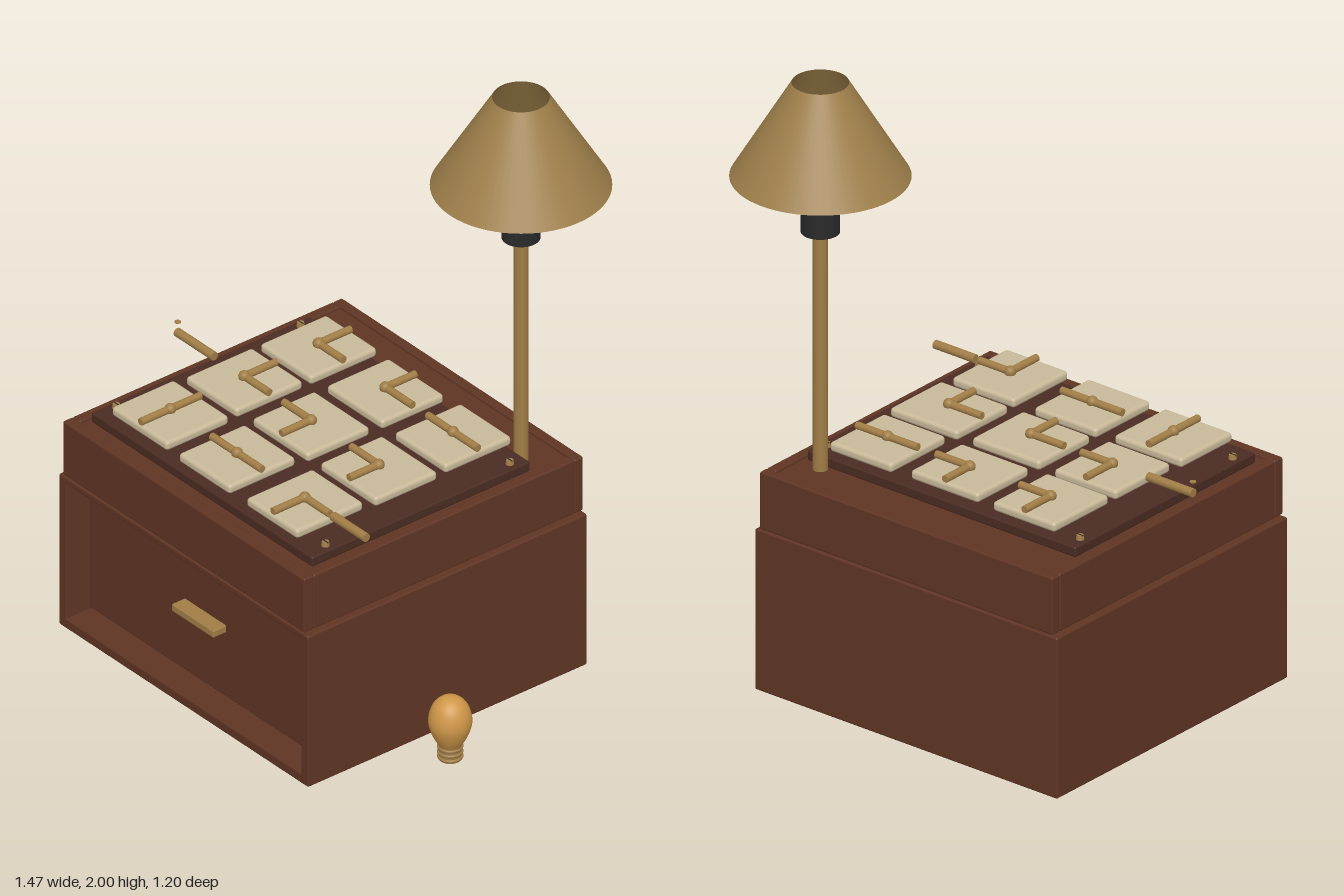
import * as THREE from 'three';
import { RoundedBoxGeometry } from 'three/addons/geometries/RoundedBoxGeometry.js';

const material = (name, color, side = THREE.FrontSide) => {
  const m = new THREE.MeshStandardMaterial({ color, side });
  m.name = name;
  return m;
};

export function createModel() {
  const wood = material('wood', 0x5f3524);
  const darkWood = material('dark wood', 0x4a2b22);
  const cream = material('cream tile', 0xc8b999);
  const brass = material('brass', 0xa07d46);
  const shadeBrass = material('shade brass', 0x9f7f4a, THREE.DoubleSide);
  const black = material('black', 0x2a2a2b);
  const amber = material('amber glass', 0xcf9748);

  const model = new THREE.Group();
  model.name = 'puzzleBoxLamp';

  const group = (name, parent = model) => {
    const g = new THREE.Group();
    g.name = name;
    parent.add(g);
    return g;
  };
  const add = (parent, name, geometry, mat, x = 0, y = 0, z = 0) => {
    const mesh = new THREE.Mesh(geometry, mat);
    mesh.name = name;
    mesh.position.set(x, y, z);
    parent.add(mesh);
    return mesh;
  };
  // Rounded box given by its lower and upper corners
  const board = (parent, name, mat, [x0, y0, z0], [x1, y1, z1], r = 0.006) =>
    add(parent, name, new RoundedBoxGeometry(x1 - x0, y1 - y0, z1 - z0, 2, r), mat,
      (x0 + x1) / 2, (y0 + y1) / 2, (z0 + z1) / 2);
  // Round rod between two points
  const rod = (parent, name, a, b, r, mat = brass) => {
    const p = new THREE.Vector3(...a), q = new THREE.Vector3(...b);
    const d = q.clone().sub(p);
    const mesh = add(parent, name, new THREE.CylinderGeometry(r, r, d.length(), 16), mat);
    mesh.position.copy(p).add(q).multiplyScalar(0.5);
    mesh.quaternion.setFromUnitVectors(new THREE.Vector3(0, 1, 0), d.normalize());
    return mesh;
  };

  // Lower cabinet, open at the front, with a recessed drawer
  const cabinet = group('cabinet');
  board(cabinet, 'cabinetFloor', wood, [-0.683, 0, -0.475], [0.488, 0.035, 0.6]);
  board(cabinet, 'cabinetTop', wood, [-0.683, 0.51, -0.475], [0.488, 0.533, 0.6]);
  board(cabinet, 'cabinetBack', wood, [-0.683, 0, -0.475], [0.488, 0.533, -0.44]);
  board(cabinet, 'cabinetSide', wood, [-0.683, 0, -0.475], [-0.648, 0.533, 0.6]);
  board(cabinet, 'cabinetSide', wood, [0.453, 0, -0.475], [0.488, 0.533, 0.6]);
  board(cabinet, 'drawerFront', wood, [-0.644, 0.045, 0.48], [0.449, 0.508, 0.515]);
  board(cabinet, 'drawerHandle', brass, [-0.197, 0.272, 0.51], [0, 0.298, 0.565], 0.005);

  // Upper tray: four walls around a floor
  const tray = group('tray');
  board(tray, 'trayWallFront', wood, [-0.665, 0.537, 0.562], [0.47, 0.727, 0.6]);
  board(tray, 'trayWallBack', wood, [-0.665, 0.537, -0.475], [0.47, 0.727, -0.441]);
  board(tray, 'trayWallSide', wood, [-0.665, 0.537, -0.441], [-0.63, 0.727, 0.562]);
  board(tray, 'trayWallSide', wood, [0.435, 0.537, -0.441], [0.47, 0.727, 0.562]);
  board(tray, 'trayFloor', wood, [-0.64, 0.53, -0.45], [0.445, 0.718, 0.57]);
  board(tray, 'puzzlePlate', darkWood, [-0.617, 0.718, -0.31], [0.422, 0.752, 0.53]);

  // Slotted screws at the plate corners
  for (const x of [-0.59, 0.393]) {
    for (const z of [-0.255, 0.455]) {
      const screw = group('screw');
      screw.position.set(x, 0.759, z);
      add(screw, 'screwHead', new THREE.CylinderGeometry(0.011, 0.013, 0.015, 16), brass);
      add(screw, 'screwSlot', new THREE.BoxGeometry(0.022, 0.003, 0.004), black, 0, 0.007, 0);
    }
  }

  // Puzzle tiles; letters give the sides that the pipe reaches, rows from back to front
  const columns = [-0.412, -0.098, 0.22];
  const rows = [-0.178, 0.108, 0.393];
  const layout = [['BR', 'BR', 'LR'], ['BR', 'LF', 'LF'], ['BF', 'LR', 'RF']];
  const wide = [[0, 1, 0], [0, 1, 1], [1, 0, 0]];
  const direction = { L: [-1, 0], R: [1, 0], B: [0, -1], F: [0, 1] };
  const pipeY = 0.811;
  rows.forEach((z, r) => columns.forEach((x, c) => {
    const tile = group('pipeTile');
    tile.position.set(x, 0, z);
    const w = wide[r][c] ? 0.262 : 0.241;
    const d = wide[r][c] ? 0.24 : 0.256;
    add(tile, 'tile', new RoundedBoxGeometry(w, 0.032, d, 3, 0.012), cream, 0, 0.787, 0);
    for (const key of layout[r][c]) {
      const [dx, dz] = direction[key];
      rod(tile, 'pipe', [0, pipeY, 0], [dx * w * 0.49, pipeY, dz * d * 0.48], 0.012);
    }
    add(tile, 'pipeJoint', new THREE.SphereGeometry(0.018, 16, 12), brass, 0, pipeY, 0);
  }));

  // Inlet and outlet pipes beyond the plate
  rod(model, 'inletPipe', [-0.727, pipeY, rows[1]], [-0.552, pipeY, rows[1]], 0.014);
  rod(model, 'outletPipe', [0.354, pipeY, rows[2]], [0.51, pipeY, rows[2]], 0.014);
  add(model, 'inletCap', new THREE.CylinderGeometry(0.01, 0.01, 0.003, 12), brass, -0.725, 0.848, rows[1]);

  // Lamp with an open conical shade
  const lamp = group('lamp');
  lamp.position.set(0.354, 0, -0.33);
  rod(lamp, 'lampPole', [0, 0.718, 0], [0, 1.51, 0], 0.023);
  add(lamp, 'lampSocket', new THREE.CylinderGeometry(0.059, 0.059, 0.097, 32), black, 0, 1.554, 0);
  add(lamp, 'lampShade', new THREE.CylinderGeometry(0.086, 0.272, 0.31, 64, 1, true), shadeBrass, 0, 1.845, 0);

  // Loose bulb beside the cabinet
  const bulb = group('bulb');
  bulb.position.set(0.668, 0, 0.2);
  const outline = [[0.034, 0.082], [0.044, 0.098], [0.058, 0.128], [0.066, 0.16], [0.063, 0.192],
    [0.051, 0.221], [0.032, 0.24], [0.014, 0.248], [0, 0.25]];
  const curve = new THREE.SplineCurve(outline.map(([x, y]) => new THREE.Vector2(x, y)));
  const points = curve.getPoints(24).map((p) => new THREE.Vector2(Math.max(p.x, 0), p.y));
  add(bulb, 'bulbGlass', new THREE.LatheGeometry(points, 32), amber);
  add(bulb, 'bulbBase', new THREE.CylinderGeometry(0.036, 0.034, 0.055, 24), brass, 0, 0.06, 0);
  for (const y of [0.042, 0.059, 0.076]) {
    const thread = add(bulb, 'bulbThread', new THREE.TorusGeometry(0.035, 0.005, 8, 24), brass, 0, y, 0);
    thread.rotation.x = Math.PI / 2;
  }

  return model;
}
